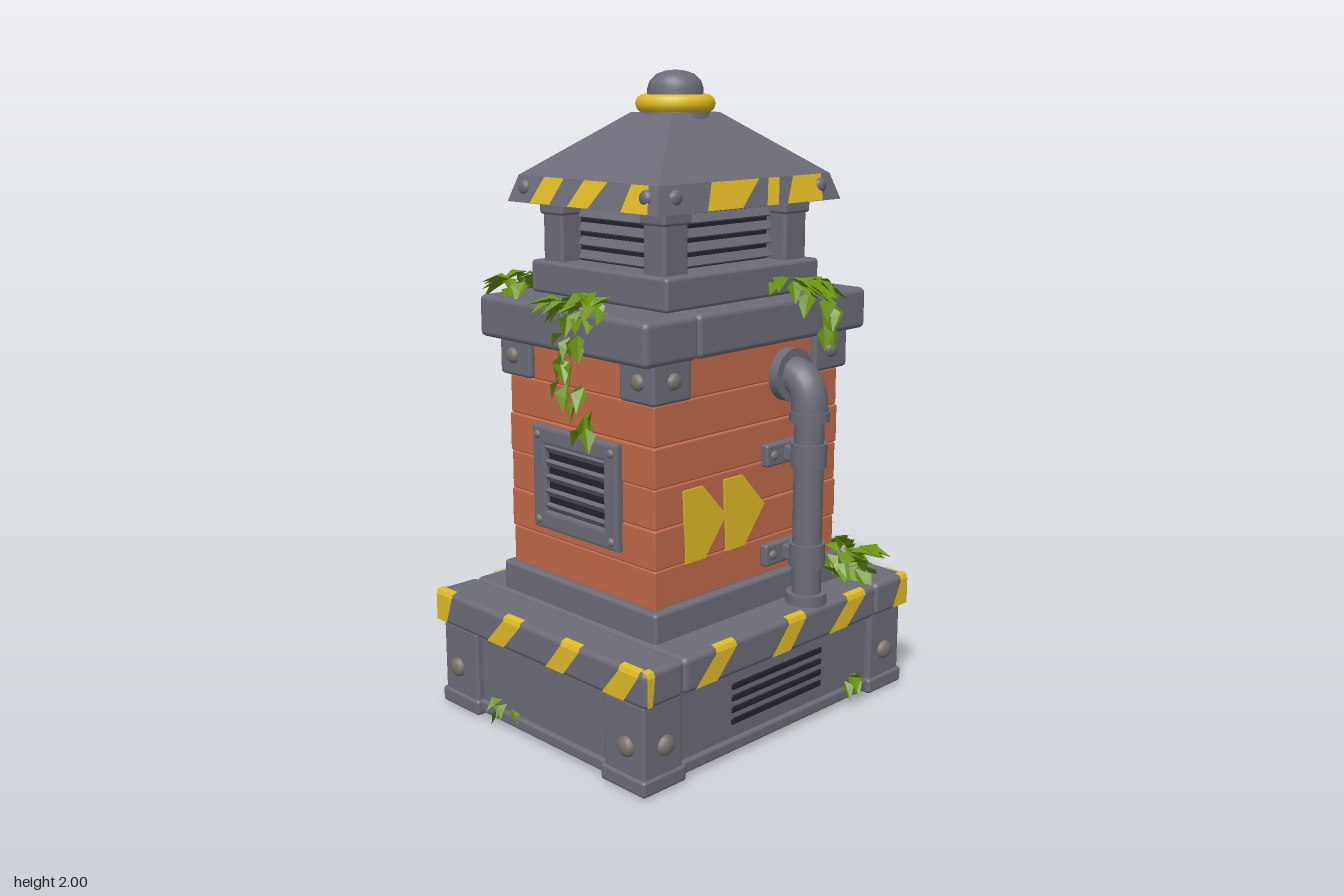
import * as THREE from 'three';
import { mergeGeometries } from 'three/addons/utils/BufferGeometryUtils.js';
import { RoundedBoxGeometry } from 'three/addons/geometries/RoundedBoxGeometry.js';

const mat = (name, color, side = THREE.FrontSide) => {
  const m = new THREE.MeshStandardMaterial({ color, side });
  m.name = name;
  return m;
};

export function createModel() {
  const grey = mat('grey metal', 0x6c6c78);
  const dark = mat('dark recess', 0x25232d);
  const brick = mat('orange brick', 0xc0694a);
  const yellow = mat('yellow paint', 0xdfb926);
  const boltMat = mat('bolt metal', 0x77716a);
  const green = mat('leaf green', 0x6a9110, THREE.DoubleSide);

  const root = new THREE.Group();
  root.name = 'ventTower';
  const add = (parent, name, geo, m, x = 0, y = 0, z = 0) => {
    const mesh = new THREE.Mesh(geo, m);
    mesh.name = name;
    mesh.position.set(x, y, z);
    parent.add(mesh);
    return mesh;
  };
  const rbox = (w, h, d, r = 0.012) => new RoundedBoxGeometry(w, h, d, 2, r);
  // Box whose top is narrowed
  const frustum = (w, d, tw, td, h) => {
    const g = new THREE.BoxGeometry(w, h, d), p = g.attributes.position;
    for (let i = 0; i < p.count; i++) {
      if (p.getY(i) > 0) p.setXYZ(i, p.getX(i) * tw / w, p.getY(i), p.getZ(i) * td / d);
    }
    g.computeVertexNormals();
    return g;
  };
  const bolt = (parent, x, y, z, r = 0.026, m = boltMat) => {
    const g = new THREE.SphereGeometry(r, 12, 5, 0, Math.PI * 2, 0, Math.PI / 2);
    add(parent, 'bolt', g.rotateX(Math.PI / 2).scale(1, 1, 0.7), m, x, y, z);
  };
  // Painted strip: rows of [left, right, height, distance]
  const strip = (parent, rows) => {
    const pos = [], idx = [];
    rows.forEach(([a, b, y, d], i) => {
      pos.push(a, y, d, b, y, d);
      const k = i * 2;
      if (i) idx.push(k - 2, k - 1, k + 1, k - 2, k + 1, k);
    });
    let g = new THREE.BufferGeometry();
    g.setAttribute('position', new THREE.Float32BufferAttribute(pos, 3));
    g.setIndex(idx);
    g = g.toNonIndexed();
    g.computeVertexNormals();
    add(parent, 'warningStripe', g, yellow);
  };
  // Stone slab divided by seams across x
  const slab = (name, hx, hz, y0, y1, seams) => {
    const cuts = [-hx, ...seams, hx];
    for (let i = 1; i < cuts.length; i++) {
      const w = cuts[i] - cuts[i - 1];
      add(root, name, rbox(w, y1 - y0, hz * 2, 0.018), grey, cuts[i - 1] + w / 2, (y0 + y1) / 2, 0);
    }
  };

  // Base, body and cap
  add(root, 'baseCore', new THREE.BoxGeometry(1.12, 0.27, 0.89), grey, 0, 0.145, 0);
  add(root, 'baseSkirt', rbox(1.15, 0.04, 0.92, 0.01), grey, 0, 0.03, 0);
  slab('baseSlab', 0.595, 0.485, 0.27, 0.38, [-0.44, 0.43]);
  add(root, 'bodyPlinth', rbox(0.85, 0.1, 0.7), grey, 0, 0.42, 0);
  add(root, 'mortarCore', new THREE.BoxGeometry(0.785, 0.74, 0.63), grey, 0, 0.835, 0);
  for (let i = 0; i < 6; i++) {
    const j = [0, 0.006, 0.002, 0.007, 0.001, 0.005][i];
    add(root, 'brickCourse', rbox(0.802 + j, 0.1215, 0.645 + j, 0.006), brick, 0, 0.527 + i * 0.1225, 0);
  }
  slab('upperSlab', 0.48, 0.372, 1.2, 1.33, [-0.27, 0.3]);
  add(root, 'upperStep', rbox(0.66, 0.1, 0.6), grey, 0, 1.38, 0);
  add(root, 'louvreCore', new THREE.BoxGeometry(0.46, 0.2, 0.38), dark, 0, 1.52, 0);
  add(root, 'roofRim', frustum(0.78, 0.66, 0.73, 0.61, 0.08), grey, 0, 1.65, 0);
  add(root, 'roofSlope', frustum(0.73, 0.61, 0.2, 0.18, 0.185), grey, 0, 1.782, 0);
  add(root, 'roofNeck', new THREE.CylinderGeometry(0.1, 0.115, 0.06, 24), grey, 0, 1.875, 0);
  add(root, 'beaconRing', new THREE.TorusGeometry(0.093, 0.029, 10, 32).rotateX(Math.PI / 2), yellow, 0, 1.9, 0);
  const dome = [[0.085, 1.88], [0.085, 1.945], [0.078, 1.967], [0.058, 1.987], [0.03, 1.997], [0, 2]];
  add(root, 'beaconDome', new THREE.LatheGeometry(dome.map(p => new THREE.Vector2(...p)), 24), grey);

  // Corner pieces
  for (const sx of [-1, 1]) for (const sz of [-1, 1]) {
    add(root, 'basePost', rbox(0.155, 0.26, 0.17), grey, sx * 0.506, 0.145, sz * 0.382);
    add(root, 'foot', rbox(0.17, 0.05, 0.185, 0.01), grey, sx * 0.506, 0.025, sz * 0.382);
    add(root, 'cornerBracket', rbox(0.155, 0.125, 0.145), grey, sx * 0.347, 1.143, sz * 0.272);
    add(root, 'roofColumn', rbox(0.1, 0.2, 0.09), grey, sx * 0.257, 1.52, sz * 0.222);
    add(root, 'columnHead', rbox(0.115, 0.04, 0.105, 0.01), grey, sx * 0.257, 1.59, sz * 0.222);
  }

  // Front and back fittings
  const frontDetails = (g) => {
    for (let i = 0; i < 4; i++) add(g, 'baseGrilleSlot', rbox(0.41, 0.02, 0.01, 0.004), dark, 0, 0.101 + i * 0.037, 0.445);
    const chevron = new THREE.Shape([[-0.29, 0.81], [-0.28, 0.585], [-0.2, 0.585], [-0.11, 0.7], [-0.21, 0.81]]
      .map(p => new THREE.Vector2(...p)));
    chevron.setFromPoints([[-0.29, 0.81], [-0.2, 0.7], [-0.28, 0.585], [-0.2, 0.585], [-0.11, 0.7], [-0.21, 0.81]]
      .map(p => new THREE.Vector2(...p)));
    for (const x of [0, 0.17]) {
      add(g, 'chevron', new THREE.ExtrudeGeometry(chevron, { depth: 0.009, bevelEnabled: false }), yellow, x, 0, 0.3205);
    }
    // Drain pipe with elbow, collars and clamps
    const px = 0.16, pz = 0.418;
    const v = (y, z) => new THREE.Vector3(px, y, z);
    const cyl = (name, r, h, y) => add(g, name, new THREE.CylinderGeometry(r, r, h, 20), grey, px, y, pz);
    const elbow = new THREE.CubicBezierCurve3(v(1.095, 0.32), v(1.095, 0.395), v(1.07, pz), v(0.98, pz));
    cyl('pipe', 0.046, 0.63, 0.69);
    add(g, 'pipeElbow', new THREE.TubeGeometry(elbow, 12, 0.057, 18), grey);
    add(g, 'pipeWallFlange', new THREE.CylinderGeometry(0.083, 0.083, 0.035, 24).rotateX(Math.PI / 2), grey, px, 1.092, 0.34);
    cyl('pipeCollar', 0.062, 0.03, 0.975);
    cyl('pipeFoot', 0.064, 0.035, 0.395);
    for (const y of [0.853, 0.535]) {
      cyl('clampRing', 0.056, 0.075, y);
      add(g, 'clampPlate', rbox(0.23, 0.07, 0.03, 0.008), grey, px, y, 0.338);
      add(g, 'clampArm', rbox(0.08, 0.05, 0.08, 0.008), grey, px, y, 0.365);
      for (const s of [-1, 1]) bolt(g, px + s * 0.085, y, 0.352, 0.016);
    }
  };

  // Side wall vent
  const sideDetails = (g) => {
    const rect = (T, w, y0, y1) => new T([[-w, y0], [w, y0], [w, y1], [-w, y1]].map(p => new THREE.Vector2(...p)));
    const frame = rect(THREE.Shape, 0.18, 0.63, 0.935);
    frame.holes.push(rect(THREE.Path, 0.142, 0.67, 0.898));
    add(g, 'ventFrame', new THREE.ExtrudeGeometry(frame,
      { depth: 0.02, bevelSize: 0.01, bevelThickness: 0.008, bevelSegments: 2 }), grey, 0, 0, 0.4);
    add(g, 'ventRecess', new THREE.BoxGeometry(0.3, 0.24, 0.01), dark, 0, 0.784, 0.405);
    for (let i = 0; i < 5; i++) {
      add(g, 'ventSlat', new THREE.BoxGeometry(0.29, 0.022, 0.014), grey, 0, 0.693 + i * 0.046, 0.415).rotation.x = 0.6;
    }
    for (const x of [-0.165, 0.165]) for (const y of [0.648, 0.917]) bolt(g, x, y, 0.427, 0.014);
  };

  // Stripe edges per side: bottom left, bottom right, top left, top right
  const slabStripes = [
    [[-0.59, -0.57, -0.59, -0.56], [-0.4, -0.31, -0.315, -0.23], [-0.075, 0.01, 0, 0.08], [0.19, 0.28, 0.28, 0.37], [0.515, 0.59, 0.555, 0.59]],
    [[-0.48, -0.43, -0.48, -0.4], [-0.22, -0.14, -0.14, -0.06], [0.06, 0.14, 0.13, 0.21], [0.31, 0.4, 0.38, 0.46]]];
  const roofStripes = [
    [[-0.2, -0.055, -0.16, 0.04], [0.05, 0.1, 0.08, 0.13], [0.14, 0.3, 0.19, 0.32]],
    [[-0.22, -0.13, -0.18, -0.09], [-0.05, 0.04, 0, 0.1], [0.18, 0.29, 0.2, 0.27]]];

  for (let k = 0; k < 4; k++) {
    const t = k % 2, g = new THREE.Group();
    g.name = ['front', 'leftSide', 'back', 'rightSide'][k];
    g.rotation.y = k * Math.PI / 2;
    root.add(g);
    (t ? sideDetails : frontDetails)(g);
    const ds = t ? 0.595 : 0.485, dr = t ? 0.39 : 0.33;
    for (const [a, b, c, d] of slabStripes[t]) {
      strip(g, [[a, b, 0.28, ds + 0.004], [c, d, 0.365, ds + 0.004], [c, d, 0.379, ds - 0.002], [c, d, 0.384, ds - 0.02]]);
    }
    for (const [a, b, c, d] of roofStripes[t]) strip(g, [[a, b, 1.612, dr + 0.004], [c, d, 1.69, dr - 0.021]]);
    const w = t ? 0.33 : 0.42;
    for (let i = 0; i < 4; i++) {
      add(g, 'louvreSlat', new THREE.BoxGeometry(w, 0.028, 0.01), grey, 0, 1.45 + i * 0.042, t ? 0.24 : 0.2).rotation.x = -0.5;
    }
    for (const s of [-1, 1]) {
      bolt(g, s * (t ? 0.395 : 0.5), 0.135, t ? 0.582 : 0.466, 0.032);
      bolt(g, s * (t ? 0.28 : 0.345), 1.145, t ? 0.423 : 0.343);
      bolt(g, s * (t ? 0.265 : 0.31), 1.655, dr - 0.016, 0.024, grey);
    }
  }

  // Ivy
  let seed = 7;
  const rnd = () => (seed = (seed * 16807) % 2147483647) / 2147483647;
  const span = (s) => (rnd() * 2 - 1) * s;
  const leaf = (len) => {
    const g = new THREE.BufferGeometry(), w = len * 0.32;
    g.setAttribute('position', new THREE.Float32BufferAttribute(
      [0, 0, 0, -w, 0.01, len * 0.4, 0, -0.008, len * 0.5, w, 0.01, len * 0.4, 0, -0.02, len], 3));
    g.setIndex([0, 1, 2, 0, 2, 3, 1, 4, 2, 2, 4, 3]);
    const flat = g.toNonIndexed();
    flat.computeVertexNormals();
    return flat;
  };
  // Leaves spread around a point, facing a given direction
  const ivy = (name, [x, y, z], [sx, sy, sz], yaw, count, size = 0.1, droop = 0.35) => {
    const leaves = [];
    for (let i = 0; i < count; i++) {
      leaves.push(leaf(size * (0.75 + rnd() * 0.4)).rotateX(droop + span(0.5)).rotateY(yaw + span(1.5))
        .translate(x + span(sx), y + span(sy), z + span(sz)));
    }
    add(root, name, mergeGeometries(leaves), green);
  };
  const L = Math.PI / 2, B = Math.PI;
  ivy('frontIvy', [0.2, 1.37, 0.35], [0.09, 0.025, 0.03], 0, 20);
  ivy('frontIvyHanging', [0.28, 1.27, 0.38], [0.03, 0.06, 0.01], 0, 9, 0.08, 0.9);
  ivy('leftIvy', [0.45, 1.36, -0.13], [0.03, 0.03, 0.12], L, 22);
  ivy('leftIvyHanging', [0.485, 1.22, -0.06], [0.01, 0.12, 0.05], L, 14, 0.08, 0.9);
  ivy('leftIvyTail', [0.44, 1.05, -0.08], [0.015, 0.07, 0.025], L, 8, 0.075, 1);
  ivy('backIvy', [-0.23, 1.37, -0.35], [0.12, 0.025, 0.03], B, 22);
  ivy('backIvyHanging', [-0.29, 1.27, -0.38], [0.03, 0.06, 0.01], B, 9, 0.08, 0.9);
  ivy('backCornerIvy', [-0.39, 1.36, -0.29], [0.03, 0.02, 0.06], -L, 10, 0.08);
  ivy('rightIvy', [-0.45, 1.36, 0.07], [0.03, 0.03, 0.12], -L, 22);
  ivy('rightIvyHanging', [-0.485, 1.22, 0.06], [0.01, 0.12, 0.05], -L, 14, 0.08, 0.9);
  ivy('rightIvyTail', [-0.44, 1.05, 0.08], [0.015, 0.07, 0.025], -L, 8, 0.075, 1);
  ivy('baseIvyCorner', [0.43, 0.45, 0.37], [0.06, 0.04, 0.05], L / 2, 18);
  ivy('baseIvySide', [0.48, 0.46, 0.25], [0.03, 0.04, 0.06], L, 12);
  ivy('baseIvyFront', [0.31, 0.48, 0.37], [0.05, 0.04, 0.02], 0, 8, 0.08);
  ivy('baseSprigFront', [0.34, 0.07, 0.45], [0.03, 0.015, 0.005], 0, 6, 0.06);
  ivy('baseSprigLeft', [0.565, 0.07, 0.18], [0.005, 0.02, 0.04], L, 8, 0.065);
  ivy('baseSprigRight', [-0.565, 0.07, -0.18], [0.005, 0.02, 0.04], -L, 6, 0.06);

  return root;
}
